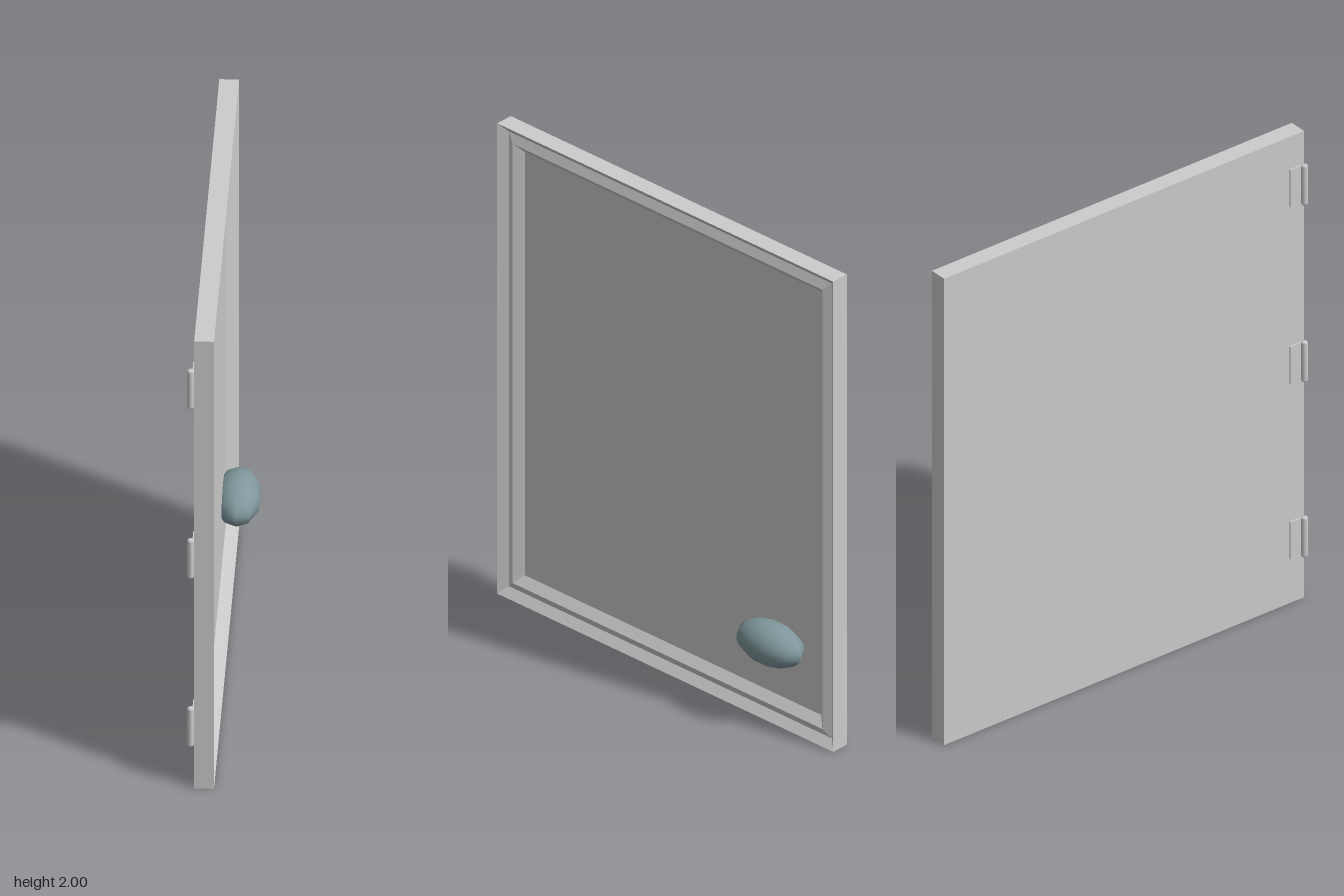
import * as THREE from 'three';

const grey = () => new THREE.MeshStandardMaterial({ color: 0xcccccc });

function add(parent, name, geometry, material, x = 0, y = 0, z = 0) {
  const mesh = new THREE.Mesh(geometry, material);
  mesh.name = name;
  mesh.position.set(x, y, z);
  parent.add(mesh);
  return mesh;
}

// Door slab: nested rectangles, each given as [inset, x], joined by mitred faces
function doorGeometry() {
  const back = -0.847, front = 0.843, height = 2;
  const rings = [
    [0, -0.073], [0, 0],                            // outer edge
    [0.033, -0.028], [0.066, -0.012], [0.1, -0.042] // groove, seal ridge, panel
  ].map(([d, x]) => [
    [x, d, front - d], [x, d, back + d],
    [x, height - d, back + d], [x, height - d, front - d]
  ]);
  const pos = [];
  const quad = (a, b, c, d) => pos.push(...a, ...b, ...c, ...a, ...c, ...d);
  for (let r = 0; r < rings.length - 1; r++) {
    const p = rings[r], q = rings[r + 1];
    for (let i = 0; i < 4; i++) {
      const j = (i + 1) % 4;
      quad(p[i], p[j], q[j], q[i]);
    }
  }
  quad(...rings[rings.length - 1]);
  quad(...[...rings[0]].reverse());
  const g = new THREE.BufferGeometry();
  g.setAttribute('position', new THREE.Float32BufferAttribute(pos, 3));
  g.computeVertexNormals();
  return g;
}

// Hinge: thin leaf on the door back and a barrel with chamfered ends
function makeHinge(y) {
  const hinge = new THREE.Group();
  hinge.name = 'hinge';
  hinge.position.y = y;
  add(hinge, 'hingeLeaf', new THREE.BoxGeometry(0.008, 0.16, 0.06), grey(), -0.076, 0, 0.804);
  const h = 0.085, r = 0.0135;
  const profile = [[0, -h], [r * 0.7, -h], [r, -h + 0.007], [r, h - 0.007], [r * 0.7, h], [0, h]]
    .map(([px, py]) => new THREE.Vector2(px, py));
  add(hinge, 'hingeBarrel', new THREE.LatheGeometry(profile, 12), grey(), -0.0865, 0, 0.8345);
  return hinge;
}

export function createModel() {
  const model = new THREE.Group();
  model.name = 'door';

  const doorMaterial = grey();
  doorMaterial.flatShading = true;
  add(model, 'doorPanel', doorGeometry(), doorMaterial);

  for (const y of [0.27, 1.022, 1.78]) model.add(makeHinge(y));

  // Oval knob, ten-sided around its upright axis
  const knobGeometry = new THREE.SphereGeometry(1, 10, 24);
  knobGeometry.rotateY(Math.PI / 2);
  const knob = add(model, 'knob', knobGeometry,
    new THREE.MeshStandardMaterial({ color: 0x7f979b }), 0.012, 0.347, -0.542);
  knob.scale.set(0.087, 0.083, 0.153);

  return model;
}
